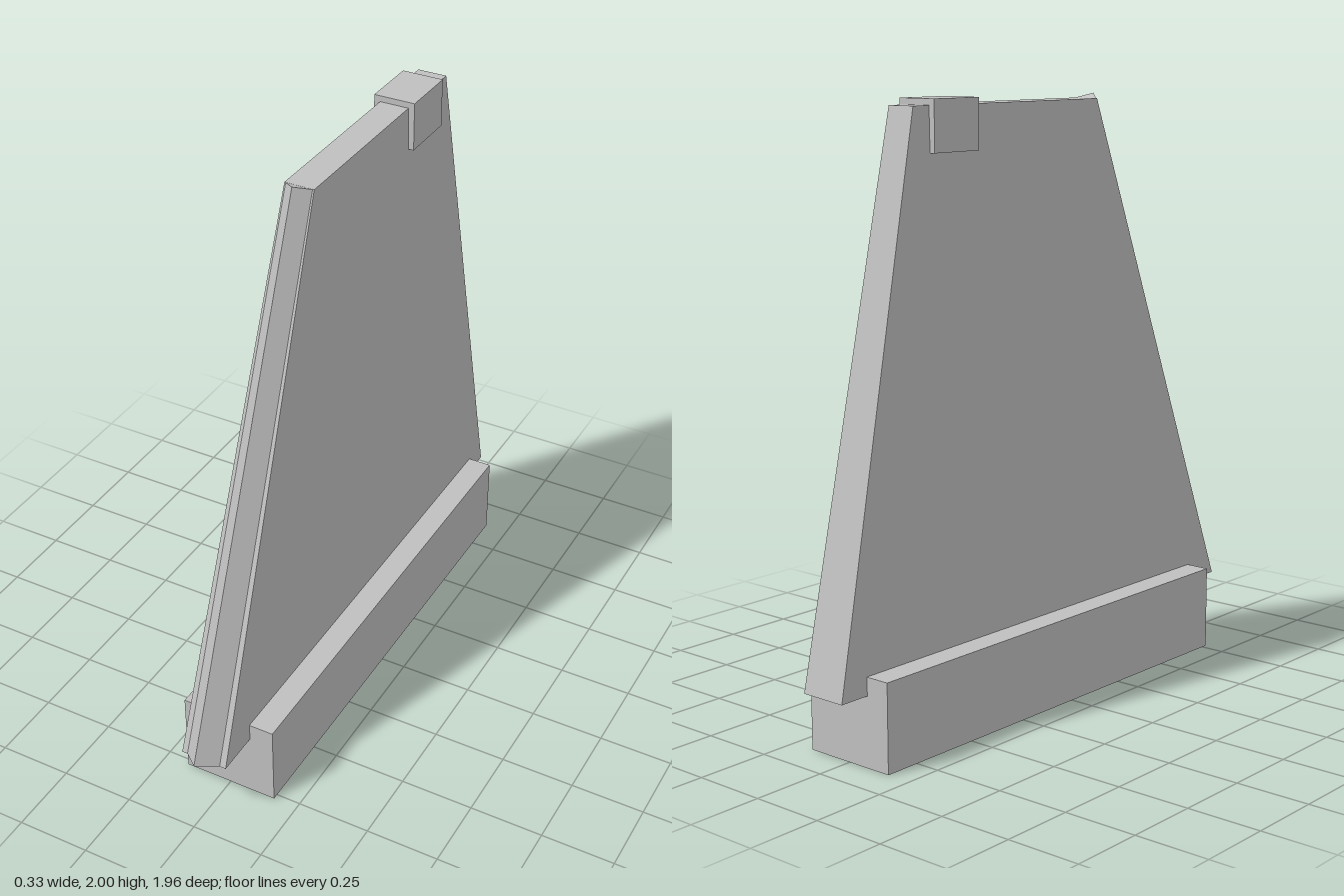
import * as THREE from 'three';

export function createModel() {
  const model = new THREE.Group();
  const grey = new THREE.MeshStandardMaterial({ color: 0xbfbfbf });
  grey.name = 'plain grey';

  function add(name, geometry, x, y, z) {
    const mesh = new THREE.Mesh(geometry, grey);
    mesh.name = name;
    mesh.position.set(x, y, z);
    model.add(mesh);
    return mesh;
  }

  // Mounting block at the foot
  add('base', new THREE.BoxGeometry(0.33, 0.29, 1.645), 0, 0.145, -0.0525);

  // Tapered fin: a box whose top and bottom edges are moved to their own sizes
  const fin = new THREE.BoxGeometry(1, 1, 1);
  const p = fin.attributes.position;
  for (let i = 0; i < p.count; i++) {
    const top = p.getY(i) > 0;
    const front = p.getZ(i) > 0;
    p.setXYZ(
      i,
      Math.sign(p.getX(i)) * (top ? 0.05 : 0.081),
      top ? 1.98 : 0.23,
      top ? (front ? 0.26 : -0.615) : (front ? 0.922 : -0.982)
    );
  }
  fin.computeVertexNormals();
  add('fin', fin, 0, 0, 0);

  // Diamond-section bar along the sloping front edge
  const low = new THREE.Vector3(0, 0.233, 0.924);
  const high = new THREE.Vector3(0, 1.98, 0.261);
  const axis = high.clone().sub(low);
  const bar = new THREE.CylinderGeometry(0.045, 0.06, axis.length(), 4).toNonIndexed();
  bar.computeVertexNormals();
  const mid = low.clone().add(high).multiplyScalar(0.5);
  const edge = add('leadingEdge', bar, mid.x, mid.y, mid.z);
  edge.quaternion.setFromUnitVectors(new THREE.Vector3(0, 1, 0), axis.normalize());

  // Small block over the top edge
  add('tipBlock', new THREE.BoxGeometry(0.142, 0.162, 0.2), 0, 1.919, -0.446);

  return model;
}
